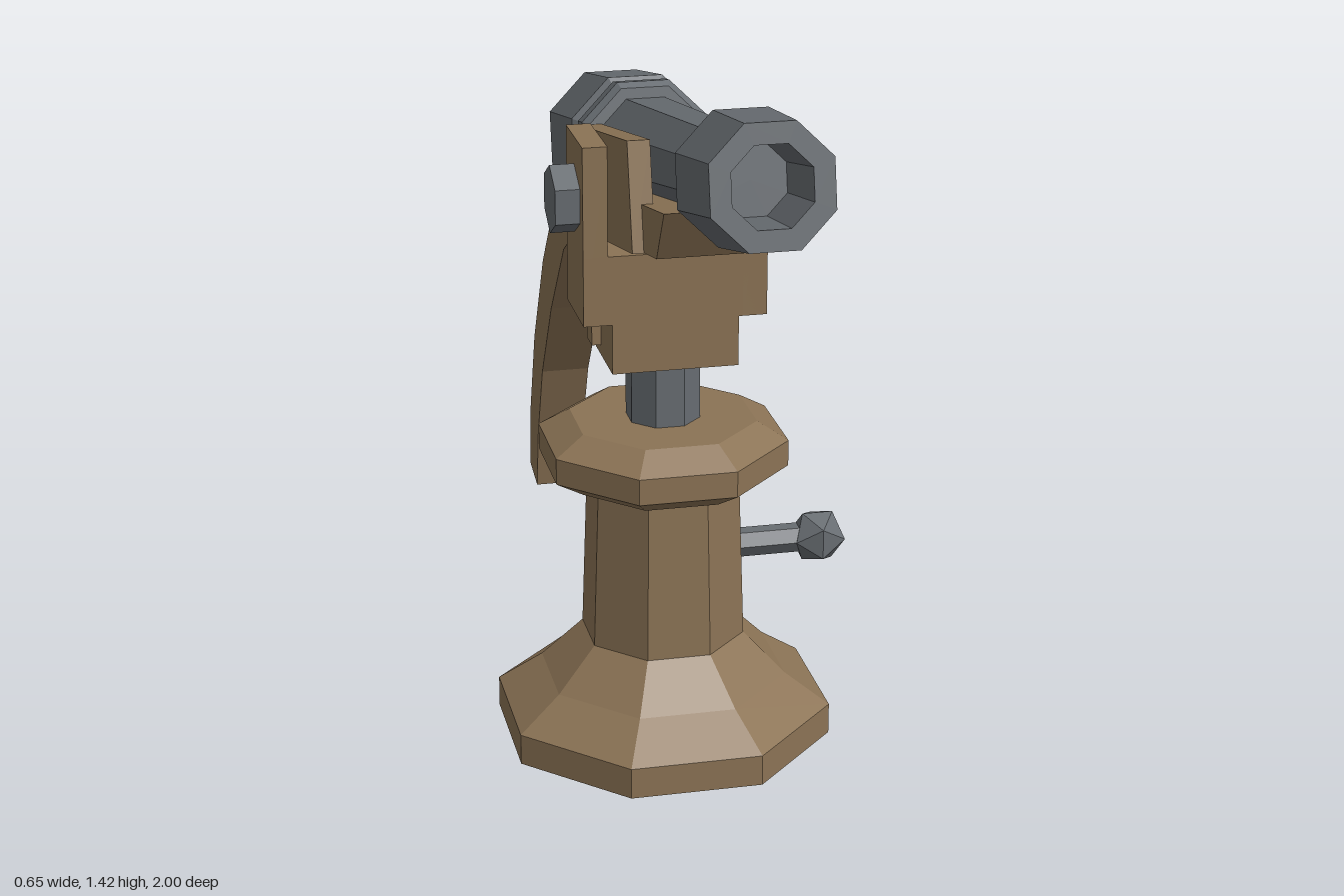
import * as THREE from 'three';

const wood = new THREE.MeshStandardMaterial({ color: 0x8b7355 });
wood.name = 'wood';
const iron = new THREE.MeshStandardMaterial({ color: 0x676c71 });
iron.name = 'iron';

// Faceted mesh with hard edges
function part(name, geometry, material, x = 0, y = 0, z = 0) {
  const g = geometry.index ? geometry.toNonIndexed() : geometry;
  g.computeVertexNormals();
  const mesh = new THREE.Mesh(g, material);
  mesh.name = name;
  mesh.position.set(x, y, z);
  return mesh;
}

// Eight-sided turned body; radii are measured to the flats
function octagon(profile) {
  const k = 1 / Math.cos(Math.PI / 8);
  return new THREE.LatheGeometry(
    profile.map(([r, y]) => new THREE.Vector2(r * k, y)), 8, Math.PI / 8);
}

// Side outline given as [z, y], extruded across x and centred
function slab(outline, width) {
  const shape = new THREE.Shape(outline.map(([z, y]) => new THREE.Vector2(z, y)));
  const g = new THREE.ExtrudeGeometry(shape, { depth: width, bevelEnabled: false });
  return g.translate(0, 0, -width / 2).rotateY(-Math.PI / 2);
}

export function createModel() {
  const model = new THREE.Group();
  model.name = 'swivelGun';
  const body = new THREE.Group();
  body.name = 'gunAssembly';
  body.position.x = -0.03;
  model.add(body);

  // Pedestal with flared foot and collar
  body.add(part('pedestal', octagon([
    [0, 0], [0.3, 0], [0.3, 0.06], [0.22, 0.12], [0.145, 0.2], [0.135, 0.515],
    [0.165, 0.515], [0.22, 0.55], [0.22, 0.6], [0.165, 0.635], [0, 0.635],
  ]), wood, 0, 0, 0.19));
  body.add(part('swivelPost', octagon([
    [0, 0.6], [0.065, 0.6], [0.065, 0.82], [0, 0.82],
  ]), iron, 0, 0, 0.19));

  // Locking handle on the left side
  body.add(part('handleRod',
    new THREE.CylinderGeometry(0.028, 0.028, 0.18, 6).rotateZ(Math.PI / 2), iron, 0.2, 0.36, 0.19));
  body.add(part('handleKnob', new THREE.IcosahedronGeometry(0.056, 0), iron, 0.304, 0.36, 0.19));

  // Yoke
  body.add(part('yokeFoot', new THREE.BoxGeometry(0.235, 0.1, 0.155), wood, 0, 0.815, 0.2225));
  body.add(part('yokeCleat', new THREE.BoxGeometry(0.27, 0.08, 0.045), wood, 0, 0.825, 0.1725));
  body.add(part('yokeBase', new THREE.BoxGeometry(0.34, 0.13, 0.155), wood, 0, 0.925, 0.2225));
  for (const side of [-1, 1]) {
    body.add(part('yokeArm', new THREE.BoxGeometry(0.045, 0.335, 0.155), wood,
      side * 0.1475, 1.0275, 0.2225));
  }
  body.add(part('trunnion',
    new THREE.CylinderGeometry(0.064, 0.064, 0.43, 6).rotateY(Math.PI / 2).rotateZ(Math.PI / 2)
      .rotateX(Math.PI / 2), iron, 0, 1.08, 0.22));
  const trunnion = body.children[body.children.length - 1];
  // Point the hexagon upward
  trunnion.geometry.computeBoundingBox();
  const box = trunnion.geometry.boundingBox;
  if (box.max.y < box.max.z) trunnion.rotation.x = Math.PI / 2;

  // Raised gun and cradle share one tilt; local z runs along the bore
  const gun = new THREE.Group();
  gun.name = 'tiltedGun';
  gun.position.set(0, 1.155, 0.22);
  gun.rotation.x = -THREE.MathUtils.degToRad(12);
  body.add(gun);

  gun.add(part('barrel', octagon([
    [0, -0.655], [0.026, -0.655], [0.05, -0.622], [0.025, -0.585], [0.025, -0.56],
    [0.06, -0.555], [0.124, -0.496], [0.125, -0.252], [0.108, -0.24], [0.108, -0.228],
    [0.119, -0.22], [0.119, -0.18], [0.108, -0.167], [0.088, -0.167],
    [0.068, 0.54], [0.111, 0.583], [0.101, 0.777],
    [0.066, 0.777], [0.06, 0.63], [0, 0.63],
  ]).rotateX(Math.PI / 2), iron));

  // Cradle
  gun.add(part('cradleBed', slab(
    [[-0.175, -0.148], [0.374, -0.148], [0.45, -0.065], [-0.175, -0.065]], 0.21), wood));
  for (const side of [-1, 1]) {
    gun.add(part('cradleCheek', slab(
      [[-0.175, -0.151], [0.27, -0.149], [0.267, 0.045], [-0.175, 0.045]], 0.04), wood, side * 0.105));
  }

  // Curved aiming tail, slightly narrower toward its end
  const tail = slab([
    [-0.13, 0.917], [-0.32, 0.853], [-0.52, 0.735], [-0.686, 0.547], [-0.815, 0.354],
    [-0.885, 0.177], [-0.91, 0.043], [-1, 0.06], [-0.987, 0.204], [-0.917, 0.402],
    [-0.788, 0.622], [-0.606, 0.831], [-0.38, 0.987], [-0.165, 1.06],
  ], 0.12);
  const p = tail.attributes.position;
  for (let i = 0; i < p.count; i++) p.setX(i, p.getX(i) * (1 + 0.17 * p.getZ(i)));
  body.add(part('aimingTail', tail, wood));

  return model;
}
